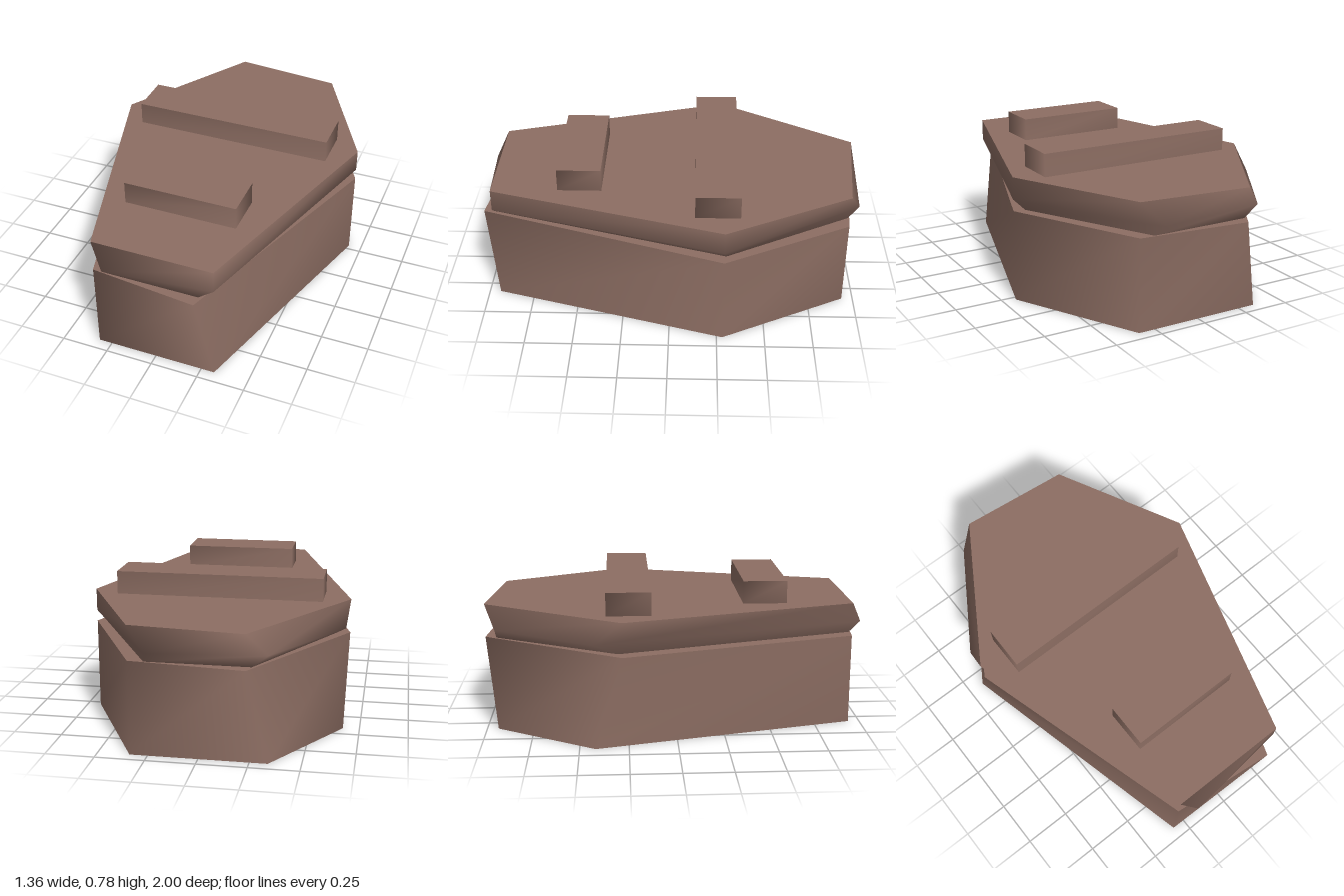
import * as THREE from 'three';

// Joins outlines of equal point count, stacked from low to high:
// smooth-shaded walls and flat caps. Outlines run anticlockwise from above.
function loft(rings) {
  const n = rings[0].points.length;
  const positions = [];
  const index = [];
  const addRing = ({ y, points }) => {
    const start = positions.length / 3;
    points.forEach(([x, z]) => positions.push(x, y, z));
    return start;
  };
  const starts = rings.map(addRing);
  for (let r = 0; r + 1 < rings.length; r++) {
    for (let i = 0; i < n; i++) {
      const j = (i + 1) % n;
      const a = starts[r] + i, b = starts[r] + j;
      const c = starts[r + 1] + j, d = starts[r + 1] + i;
      index.push(a, b, c, a, c, d);
    }
  }
  // Caps have their own vertices so their edges stay sharp
  const bottom = addRing(rings[0]);
  const top = addRing(rings[rings.length - 1]);
  for (let i = 1; i + 1 < n; i++) {
    index.push(bottom, bottom + i + 1, bottom + i);
    index.push(top, top + i, top + i + 1);
  }
  const geometry = new THREE.BufferGeometry();
  geometry.setAttribute('position', new THREE.Float32BufferAttribute(positions, 3));
  geometry.setIndex(index);
  geometry.computeVertexNormals();
  return geometry;
}

export function createModel() {
  const group = new THREE.Group();
  const wood = new THREE.MeshStandardMaterial({ color: 0x8d6e63 });
  wood.name = 'brown wood';

  const add = (name, rings) => {
    const mesh = new THREE.Mesh(loft(rings), wood);
    mesh.name = name;
    group.add(mesh);
  };

  // Tapered six-sided box with slightly skewed corners
  add('base', [
    { y: 0, points: [[-0.32, 0.94], [0.32, 0.94], [0.68, -0.28], [0.34, -0.94], [-0.34, -0.94], [-0.665, -0.42]] },
    { y: 0.48, points: [[-0.32, 0.94], [0.24, 1], [0.68, -0.28], [0.34, -0.94], [-0.24, -1], [-0.68, -0.28]] },
  ]);

  // Lid, bevelled in underneath
  add('lid', [
    { y: 0.48, points: [[-0.24, 0.94], [0.24, 0.94], [0.62, -0.29], [0.26, -0.94], [-0.26, -0.94], [-0.61, -0.3]] },
    { y: 0.54, points: [[-0.24, 1], [0.32, 0.94], [0.68, -0.28], [0.24, -1], [-0.34, -0.94], [-0.665, -0.42]] },
    { y: 0.657, points: [[-0.32, 0.94], [0.32, 0.94], [0.68, -0.28], [0.34, -0.94], [-0.24, -1], [-0.68, -0.28]] },
  ]);

  // Two battens across the lid
  const batten = (name, halfWidth, back, front) => {
    const points = [[-halfWidth, front], [halfWidth, front], [halfWidth, back], [-halfWidth, back]];
    add(name, [{ y: 0.657, points }, { y: 0.777, points }]);
  };
  batten('wideBatten', 0.54, -0.36, -0.13);
  batten('narrowBatten', 0.3, 0.36, 0.59);

  return group;
}
